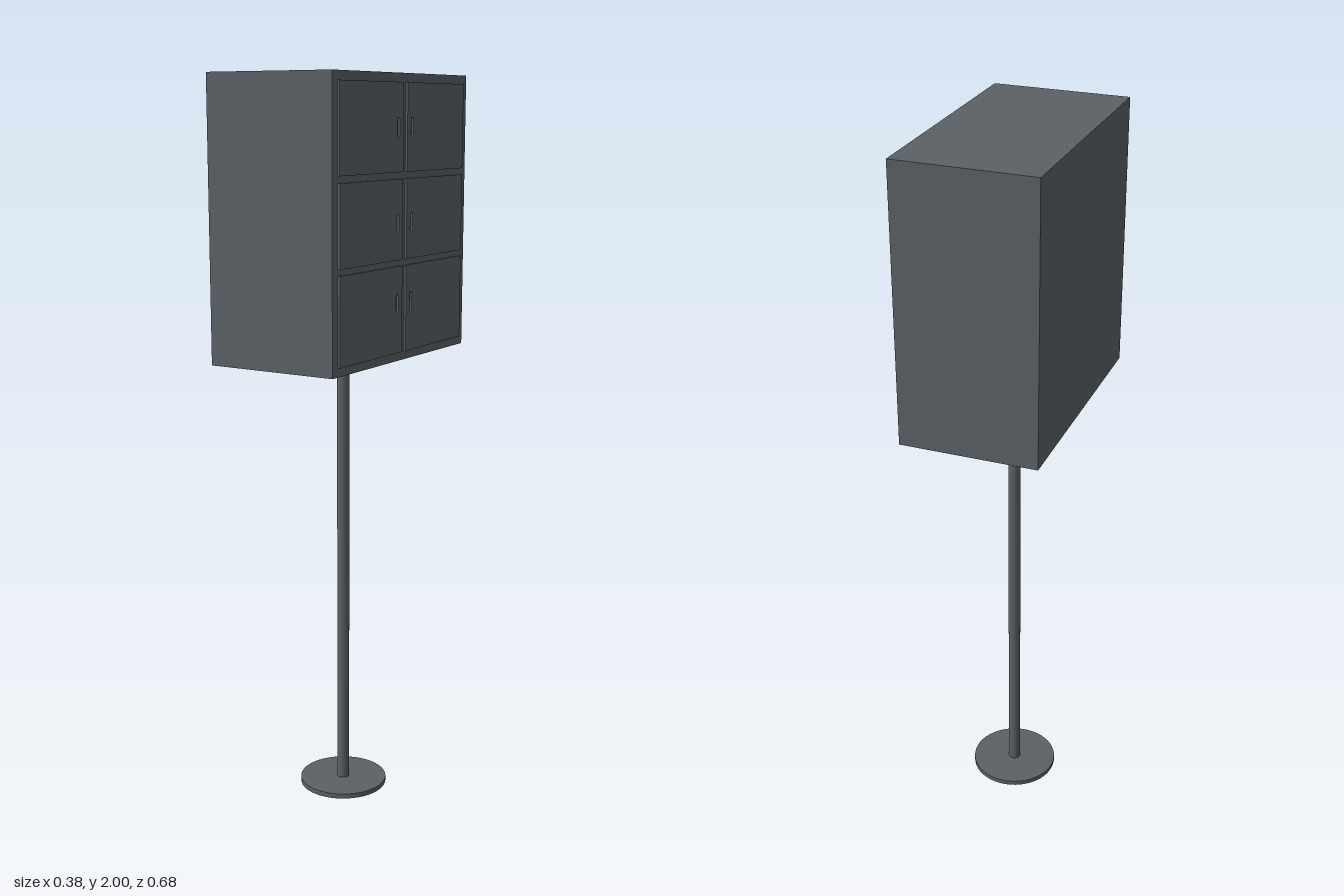
import * as THREE from 'three';

export function createModel() {
  const group = new THREE.Group();
  const steel = new THREE.MeshStandardMaterial({ color: 0x5a6165 });
  steel.name = 'dark grey steel';
  const pale = new THREE.MeshStandardMaterial({ color: 0xb8b6b4 });
  pale.name = 'pale grey steel';

  function add(name, geometry, material, x, y, z) {
    const mesh = new THREE.Mesh(geometry, material);
    mesh.name = name;
    mesh.position.set(x, y, z);
    group.add(mesh);
    return mesh;
  }

  // Stand: round foot, slim post and mounting flange
  add('foot', new THREE.CylinderGeometry(0.123, 0.123, 0.014, 48), steel, 0, 0.007, 0);
  add('post', new THREE.CylinderGeometry(0.017, 0.017, 1.24, 32), steel, 0, 0.632, 0);
  add('mountingFlange', new THREE.CylinderGeometry(0.123, 0.123, 0.008, 48), pale, 0, 1.256, 0);

  // Cabinet
  add('cabinet', new THREE.BoxGeometry(0.373, 0.74, 0.68), steel, -0.003, 1.63, 0);

  // Thin door with a slot grip; shape x becomes -z once turned to face +x
  function doorGeometry(bottom, top, slotY, side) {
    const a = 0.01 * side, b = 0.315 * side;
    const shape = new THREE.Shape([
      new THREE.Vector2(a, bottom), new THREE.Vector2(b, bottom),
      new THREE.Vector2(b, top), new THREE.Vector2(a, top),
    ]);
    const r = 0.006, h = 0.019, cx = 0.035 * side;
    const slot = new THREE.Path();
    slot.absarc(cx, slotY + h, r, 0, Math.PI, false);
    slot.absarc(cx, slotY - h, r, Math.PI, Math.PI * 2, false);
    slot.closePath();
    shape.holes.push(slot);
    return new THREE.ExtrudeGeometry(shape, { depth: 0.006, bevelEnabled: false, curveSegments: 6 });
  }

  // Three rows of paired doors: bottom, top, grip height
  const rows = [[1.283, 1.511, 1.414], [1.527, 1.735, 1.622], [1.752, 1.977, 1.865]];
  for (const [bottom, top, slotY] of rows) {
    for (const side of [-1, 1]) {
      const door = add('door', doorGeometry(bottom, top, slotY, side), steel, 0.1835, 0, 0);
      door.rotation.y = Math.PI / 2;
    }
  }
  return group;
}
